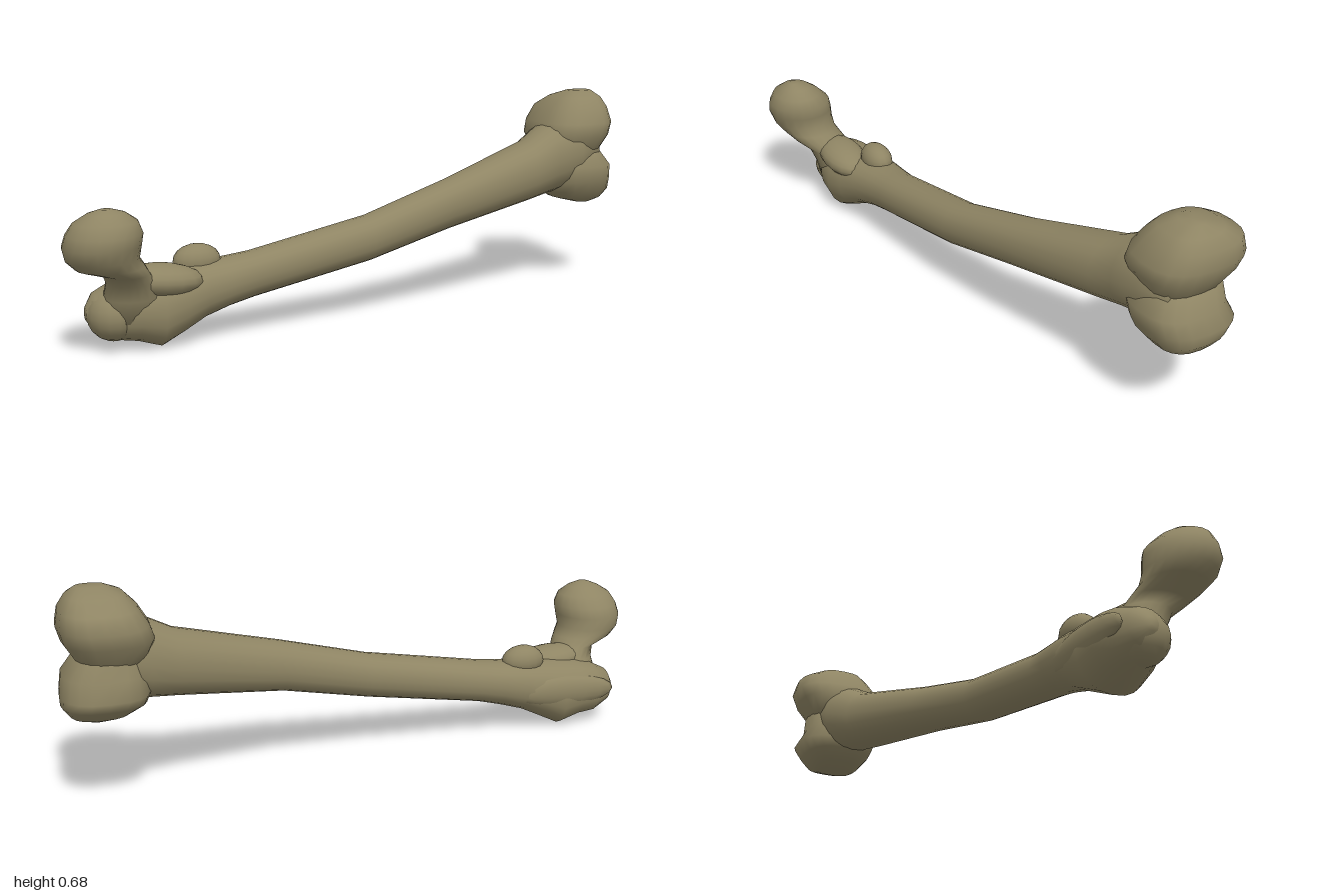
import * as THREE from 'three';

const SEG = 20;

// Smooth closed loft of rounded rings along x or y.
// Row: [position, min, max, zMin, zMax]; min/max is y for axis 'x', x for axis 'y'.
function loft(axis, rows, square = 2.2) {
  const pos = [], index = [];
  const mid = ([t, a, b, c, d]) => [t, (a + b) / 2, (a + b) / 2, (c + d) / 2, (c + d) / 2];
  const rings = [mid(rows[0]), ...rows, mid(rows[rows.length - 1])];
  const round = (v) => Math.sign(v) * Math.pow(Math.abs(v), 2 / square);
  for (const [t, a0, a1, z0, z1] of rings) {
    for (let j = 0; j < SEG; j++) {
      const th = (j / SEG) * Math.PI * 2;
      const s = round(Math.cos(th)), q = round(Math.sin(th));
      const u = axis === 'x' ? s : q, w = axis === 'x' ? q : s;
      const a = (a0 + a1) / 2 + u * (a1 - a0) / 2;
      const z = (z0 + z1) / 2 + w * (z1 - z0) / 2;
      if (axis === 'x') pos.push(t, a, z);
      else pos.push(a, t, z);
    }
  }
  for (let i = 0; i < rings.length - 1; i++) {
    for (let j = 0; j < SEG; j++) {
      const k = (j + 1) % SEG;
      const a = i * SEG + j, b = i * SEG + k, c = b + SEG, d = a + SEG;
      if (i > 0) index.push(a, b, c);
      if (i === 0 || i < rings.length - 2) index.push(a, c, d);
      else index.push(a, b, d);
    }
  }
  const g = new THREE.BufferGeometry();
  g.setAttribute('position', new THREE.Float32BufferAttribute(pos, 3));
  g.setIndex(index);
  g.computeVertexNormals();
  return g;
}

export function createModel() {
  const group = new THREE.Group();
  const bone = new THREE.MeshStandardMaterial({ color: 0x8f8564 });
  bone.name = 'bone';
  const add = (name, geo) => {
    const m = new THREE.Mesh(geo, bone);
    m.name = name;
    group.add(m);
    return m;
  };
  const knob = (name, p, r, tilt = 0) => {
    const m = add(name, new THREE.SphereGeometry(1, 16, 10));
    m.position.set(...p);
    m.scale.set(...r);
    m.rotation.z = tilt;
  };

  // Shaft, swelling into the large trochanter at one end and flaring at the other
  add('shaft', loft('x', [
    [-0.915, 0.10, 0.14, 0.05, 0.09],
    [-0.89, 0.065, 0.18, 0.01, 0.13],
    [-0.83, 0.035, 0.21, -0.02, 0.16],
    [-0.77, 0.028, 0.225, -0.03, 0.185],
    [-0.70, 0.005, 0.235, -0.035, 0.19],
    [-0.63, 0.04, 0.24, -0.03, 0.18],
    [-0.56, 0.075, 0.245, -0.028, 0.16],
    [-0.48, 0.10, 0.25, -0.022, 0.145],
    [-0.40, 0.12, 0.26, -0.015, 0.14],
    [0, 0.19, 0.335, -0.035, 0.11],
    [0.30, 0.26, 0.42, -0.085, 0.075],
    [0.65, 0.315, 0.52, -0.19, 0.01],
    [0.74, 0.33, 0.57, -0.235, 0],
    [0.84, 0.35, 0.60, -0.245, -0.01],
    [0.93, 0.42, 0.54, -0.21, -0.05],
  ]));

  // Ball head and slanted neck
  add('headAndNeck', loft('y', [
    [0.10, -0.87, -0.70, 0.02, 0.17],
    [0.17, -0.87, -0.69, 0.03, 0.19],
    [0.22, -0.865, -0.72, 0.06, 0.21],
    [0.255, -0.88, -0.745, 0.08, 0.25],
    [0.28, -0.96, -0.76, 0.09, 0.275],
    [0.31, -0.99, -0.78, 0.088, 0.298],
    [0.35, -1.0, -0.775, 0.09, 0.312],
    [0.385, -0.99, -0.77, 0.10, 0.312],
    [0.42, -0.97, -0.785, 0.135, 0.295],
    [0.445, -0.93, -0.82, 0.17, 0.265],
    [0.458, -0.895, -0.86, 0.21, 0.24],
  ], 2));

  // Condyles, with a groove between them
  add('upperCondyle', loft('y', [
    [0.44, 0.78, 0.92, -0.24, -0.06],
    [0.48, 0.74, 0.955, -0.265, -0.03],
    [0.53, 0.72, 0.985, -0.30, -0.004],
    [0.575, 0.735, 0.998, -0.313, -0.004],
    [0.625, 0.765, 0.99, -0.297, -0.035],
    [0.66, 0.80, 0.965, -0.235, -0.062],
    [0.682, 0.85, 0.935, -0.17, -0.11],
  ], 2.6));
  add('lowerCondyle', loft('y', [
    [0.29, 0.86, 0.93, -0.20, -0.08],
    [0.305, 0.80, 0.975, -0.235, -0.055],
    [0.335, 0.75, 0.998, -0.262, -0.03],
    [0.37, 0.74, 1.0, -0.292, -0.015],
    [0.425, 0.74, 0.99, -0.262, -0.002],
    [0.48, 0.76, 0.955, -0.262, -0.04],
    [0.51, 0.79, 0.92, -0.23, -0.06],
  ], 2.6));

  // Small trochanter and the ridges around the neck base
  knob('smallTrochanter', [-0.57, 0.245, 0.055], [0.075, 0.053, 0.05]);
  knob('neckRidge', [-0.70, 0.215, 0.125], [0.13, 0.05, 0.075], -0.1);
  knob('rearRidge', [-0.70, 0.14, -0.005], [0.19, 0.055, 0.032], 0.05);
  knob('trochanterKnob', [-0.835, 0.115, 0.085], [0.08, 0.08, 0.085]);
  return group;
}
